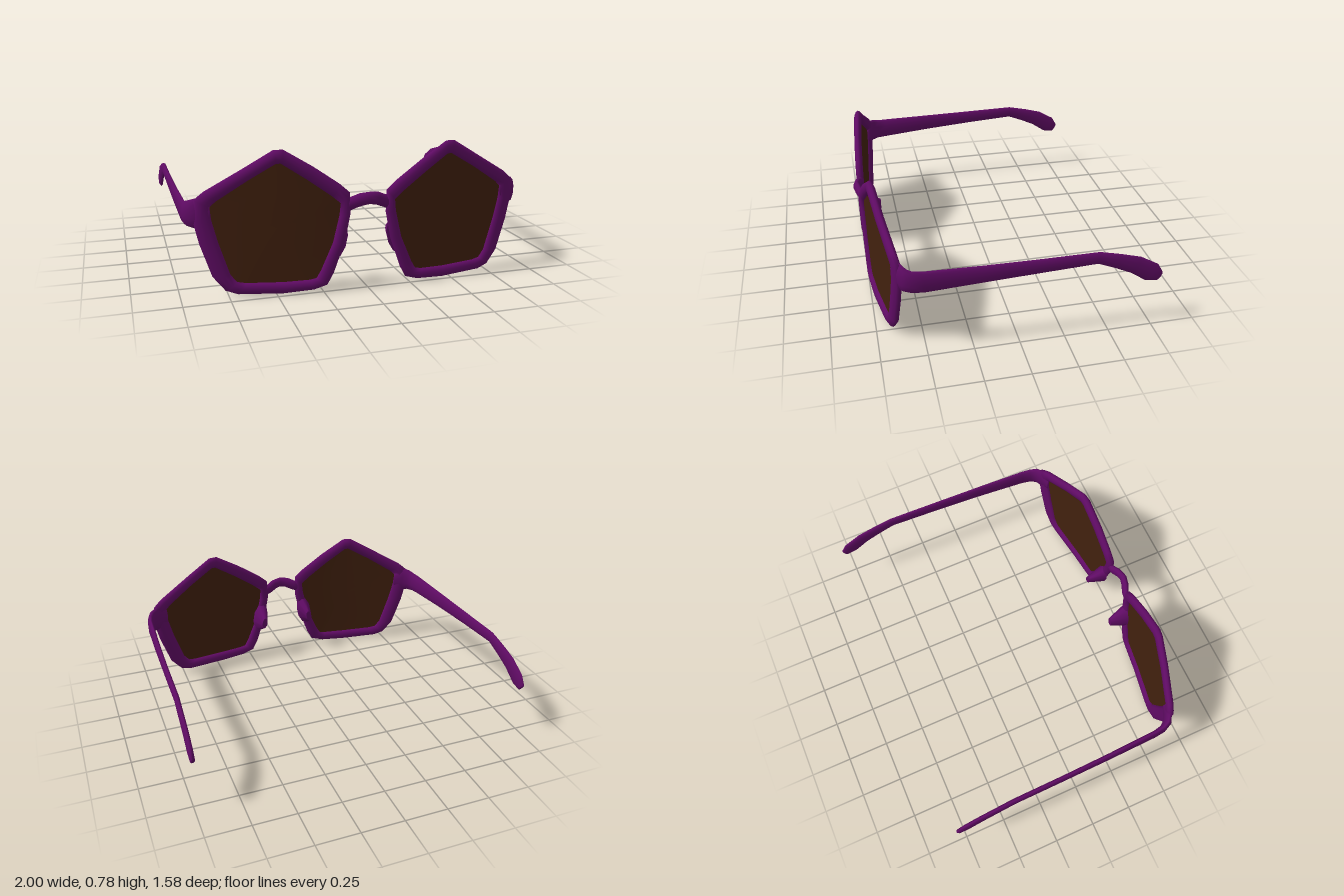
import * as THREE from 'three';

const purple = new THREE.MeshStandardMaterial({ color: 0x600b65 });
purple.name = 'purple frame';
const brown = new THREE.MeshStandardMaterial({ color: 0x42210e, side: THREE.DoubleSide });
brown.name = 'brown lens';

// The front wraps gently backwards towards the sides
const wrapZ = (x) => 0.742 - 0.145 * x * x;

// Outer and inner rim outline, paired: [outer x, outer y, inner x, inner y]
const outline = [
  [0.455, 0.785, 0.468, 0.712], [0.505, 0.785, 0.492, 0.712], [0.66, 0.692, 0.64, 0.625],
  [0.86, 0.573, 0.80, 0.52], [0.91, 0.53, 0.832, 0.49], [0.915, 0.40, 0.825, 0.42],
  [0.89, 0.29, 0.795, 0.30], [0.83, 0.11, 0.738, 0.12], [0.765, 0.03, 0.705, 0.078],
  [0.70, 0.008, 0.66, 0.07], [0.46, 0.002, 0.46, 0.066], [0.30, 0.012, 0.32, 0.07],
  [0.225, 0.035, 0.285, 0.077], [0.19, 0.10, 0.26, 0.12], [0.13, 0.27, 0.195, 0.27],
  [0.10, 0.42, 0.16, 0.42], [0.102, 0.54, 0.153, 0.485], [0.16, 0.592, 0.20, 0.525],
  [0.30, 0.69, 0.33, 0.62],
];

// Skin over rings of equal point count, turned so that it faces outwards
function skin(rings, loop, mirror) {
  const n = rings[0].length, pos = [], index = [];
  rings.flat().forEach((p) => pos.push(mirror * p.x, p.y, p.z));
  for (let i = 0; i < (loop ? rings.length : rings.length - 1); i++) {
    const j = (i + 1) % rings.length;
    for (let k = 0; k < n; k++) {
      const l = (k + 1) % n;
      index.push(i * n + k, j * n + k, i * n + l, i * n + l, j * n + k, j * n + l);
    }
  }
  const at = (i) => new THREE.Vector3().fromArray(pos, i * 3);
  let volume = 0;
  for (let i = 0; i < index.length; i += 3) {
    volume += at(index[i]).dot(at(index[i + 1]).cross(at(index[i + 2])));
  }
  if (volume < 0) index.reverse();
  const g = new THREE.BufferGeometry();
  g.setAttribute('position', new THREE.Float32BufferAttribute(pos, 3));
  g.setIndex(index);
  g.computeVertexNormals();
  return g;
}

// Elliptical bar along stations [x, y, z, half height, half thickness], closed at both ends
function bar(stations, mirror = 1) {
  const centres = stations.map((s) => new THREE.Vector3(s[0], s[1], s[2]));
  const rings = stations.map((s, i) => {
    const tangent = centres[Math.min(i + 1, centres.length - 1)].clone()
      .sub(centres[Math.max(i - 1, 0)]).normalize();
    const across = tangent.clone().cross(new THREE.Vector3(0, 1, 0)).normalize();
    const up = across.clone().cross(tangent);
    return Array.from({ length: 10 }, (_, k) => {
      const a = (k / 10) * Math.PI * 2 + Math.PI / 10;
      return centres[i].clone().addScaledVector(up, s[3] * Math.sin(a))
        .addScaledVector(across, s[4] * Math.cos(a));
    });
  });
  const cap = (i) => rings[i].map(() => centres[i].clone());
  return skin([cap(0), ...rings, cap(centres.length - 1)], false, mirror);
}

function rimGeometry(mirror) {
  const rings = outline.map(([ox, oy, ix, iy]) => Array.from({ length: 10 }, (_, k) => {
    const a = (k / 10) * Math.PI * 2, t = 0.5 + 0.5 * Math.cos(a);
    const x = ix + (ox - ix) * t, y = iy + (oy - iy) * t;
    return new THREE.Vector3(x, y, wrapZ(x) + 0.023 * Math.sin(a));
  }));
  return skin(rings, true, mirror);
}

// Thin curved sheet made of rings shrinking to the lens centre
function lensGeometry(mirror) {
  const rings = [1.03, 0.75, 0.5, 0.25, 0].map((s) => outline.map(([, , ix, iy]) => {
    const x = 0.49 + (ix - 0.49) * s, y = 0.37 + (iy - 0.37) * s;
    return new THREE.Vector3(x, y, wrapZ(x));
  }));
  return skin(rings, false, mirror);
}

// Temple arm: hinge corner, long tapering bar, drooping ear tip
const arm = [
  [0.83, 0.455, 0.640, 0.05, 0.018], [0.885, 0.455, 0.622, 0.085, 0.022],
  [0.925, 0.45, 0.597, 0.074, 0.024], [0.946, 0.445, 0.56, 0.067, 0.021],
  [0.955, 0.445, 0.50, 0.065, 0.018], [0.966, 0.456, 0.20, 0.053, 0.016],
  [0.973, 0.466, -0.10, 0.044, 0.015], [0.978, 0.476, -0.42, 0.037, 0.015],
  [0.981, 0.442, -0.53, 0.045, 0.015], [0.983, 0.405, -0.63, 0.054, 0.015],
  [0.984, 0.345, -0.725, 0.058, 0.015], [0.984, 0.313, -0.772, 0.03, 0.013],
];

const bridge = [
  [0.125, 0.47, 0.738, 0.036, 0.018], [0.085, 0.485, 0.742, 0.034, 0.02],
  [0.045, 0.503, 0.758, 0.035, 0.021], [0, 0.51, 0.767, 0.034, 0.021],
];

export function createModel() {
  const model = new THREE.Group();
  model.name = 'glasses';
  const add = (name, geometry, material, parent = model) => {
    const mesh = new THREE.Mesh(geometry, material);
    mesh.name = name;
    parent.add(mesh);
    return mesh;
  };

  for (const [side, m] of [['left', 1], ['right', -1]]) {
    const half = new THREE.Group();
    half.name = side + 'Half';
    model.add(half);
    add(side + 'Rim', rimGeometry(m), purple, half);
    add(side + 'Lens', lensGeometry(m), brown, half);
    add(side + 'Temple', bar(arm, m), purple, half);

    // Nose pad: flattened stub pointing backwards, leaning along the rim
    const pad = new THREE.CylinderGeometry(0.018, 0.05, 0.11, 10);
    pad.rotateX(-Math.PI / 2);
    pad.scale(1, 2.1, 1);
    pad.rotateZ(m * 0.2);
    pad.translate(m * 0.163, 0.28, 0.677);
    add(side + 'NosePad', pad, purple, half);
  }

  const span = [...bridge, ...bridge.slice(0, -1).reverse().map(([x, ...rest]) => [-x, ...rest])];
  add('bridge', bar(span), purple);
  return model;
}
